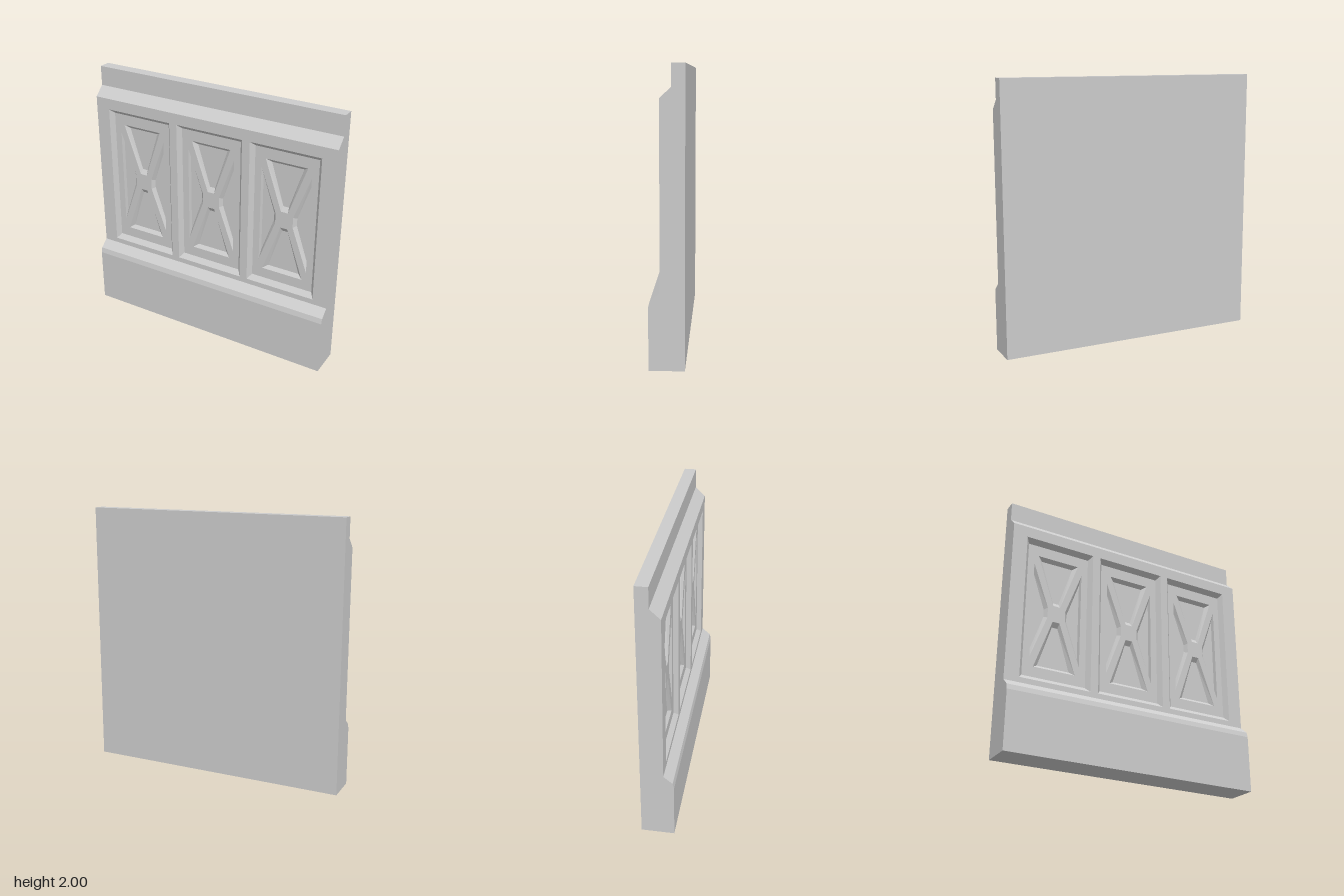
import * as THREE from 'three';
import { mergeGeometries } from 'three/addons/utils/BufferGeometryUtils.js';

const material = new THREE.MeshStandardMaterial({ color: 0xcccccc, flatShading: true });
const HALF = 1, FIELD_Z = 0.045, PANEL_Z = 0.01, RECESS_Z = -0.015, MID_Y = 1.13;

// Side outline as [z, y], from the front foot up and over to the back
const profile = [
  [0.12, 0], [0.12, 0.43], [0.11, 0.47], [FIELD_Z, 0.525], [FIELD_Z, 1.78],
  [-0.03, 1.85], [-0.03, 2], [-0.12, 2], [-0.12, 0],
];
const FIELD_EDGE = 3;

const toShape = (pts) => new THREE.Shape(pts.map(([x, y]) => new THREE.Vector2(x, y)));
const rect = (w, y0, y1, cx = 0) => [[cx - w, y0], [cx + w, y0], [cx + w, y1], [cx - w, y1]];

// Flat front-facing sheet with polygon holes
function sheet(outline, holes, z) {
  const shape = toShape(outline);
  shape.holes = holes.map((h) => toShape(h));
  return new THREE.ShapeGeometry(shape).translate(0, 0, z).toNonIndexed();
}

// Non-indexed geometry from quads with counter-clockwise corners
function quads(list) {
  const pos = [], uv = [];
  for (const [a, b, c, d] of list) {
    for (const p of [a, b, c, a, c, d]) { pos.push(...p); uv.push(p[0], p[1]); }
  }
  const g = new THREE.BufferGeometry();
  g.setAttribute('position', new THREE.Float32BufferAttribute(pos, 3));
  g.setAttribute('uv', new THREE.Float32BufferAttribute(uv, 2));
  g.computeVertexNormals();
  return g;
}

// Sloping walls from a front opening down to a smaller floor outline
function walls(outer, zo, inner, zi) {
  return quads(outer.map((p, i) => {
    const j = (i + 1) % outer.length;
    return [[...p, zo], [...outer[j], zo], [...inner[j], zi], [...inner[i], zi]];
  }));
}

function mesh(name, ...parts) {
  const m = new THREE.Mesh(mergeGeometries(parts), material);
  m.name = name;
  return m;
}

// Mirrored outlines, kept counter-clockwise
const flipX = (pts) => pts.map(([x, y]) => [-x, y]).reverse();
const flipY = (pts) => pts.map(([x, y]) => [x, 2 * MID_Y - y]).reverse();

// Four recesses around a cross, each an opening and a floor outline
const upper = [
  [[-0.028, 1.195], [0.028, 1.195], [0.163, 1.58], [-0.163, 1.58]],
  [[-0.022, 1.23], [0.022, 1.23], [0.125, 1.555], [-0.125, 1.555]],
];
const side = [
  [[0.195, 0.75], [0.195, 1.51], [0.07, 1.17], [0.07, 1.09]],
  [[0.188, 0.82], [0.188, 1.44], [0.092, 1.16], [0.092, 1.10]],
];
const recesses = [upper, upper.map(flipY), side, side.map(flipX)];

function createPanel() {
  const panel = new THREE.Group();
  panel.name = 'panel';
  const opening = rect(0.275, 0.565, 1.695), floor = rect(0.247, 0.6, 1.663);
  panel.add(mesh('panelBevel', walls(opening, FIELD_Z, floor, PANEL_Z)));
  panel.add(mesh('panelCross', sheet(floor, recesses.map((r) => r[0]), PANEL_Z)));
  for (const [outer, inner] of recesses) {
    panel.add(mesh('recess', walls(outer, PANEL_Z, inner, RECESS_Z), sheet(inner, [], RECESS_Z)));
  }
  return panel;
}

export function createModel() {
  const model = new THREE.Group();
  model.name = 'wallPanelling';

  // Plinth, top moulding, back and underside swept across the width
  const strips = [];
  profile.forEach(([z, y], i) => {
    if (i === FIELD_EDGE) return;
    const [z2, y2] = profile[(i + 1) % profile.length];
    strips.push([[-HALF, y, z], [HALF, y, z], [HALF, y2, z2], [-HALF, y2, z2]]);
  });
  model.add(mesh('wallBody', quads(strips)));

  // End faces
  for (const s of [-1, 1]) {
    const end = sheet(profile.map(([z, y]) => [-s * z, y]), [], 0);
    end.rotateY(s * Math.PI / 2).translate(s * HALF, 0, 0);
    model.add(mesh(s > 0 ? 'leftEnd' : 'rightEnd', end));
  }

  // Front field with three sunken panels
  const centres = [-0.612, 0, 0.612];
  const openings = centres.map((x) => rect(0.275, 0.565, 1.695, x));
  model.add(mesh('frontFrame', sheet(rect(HALF, 0.525, 1.78), openings, FIELD_Z)));
  for (const x of centres) {
    const panel = createPanel();
    panel.position.x = x;
    model.add(panel);
  }
  return model;
}
